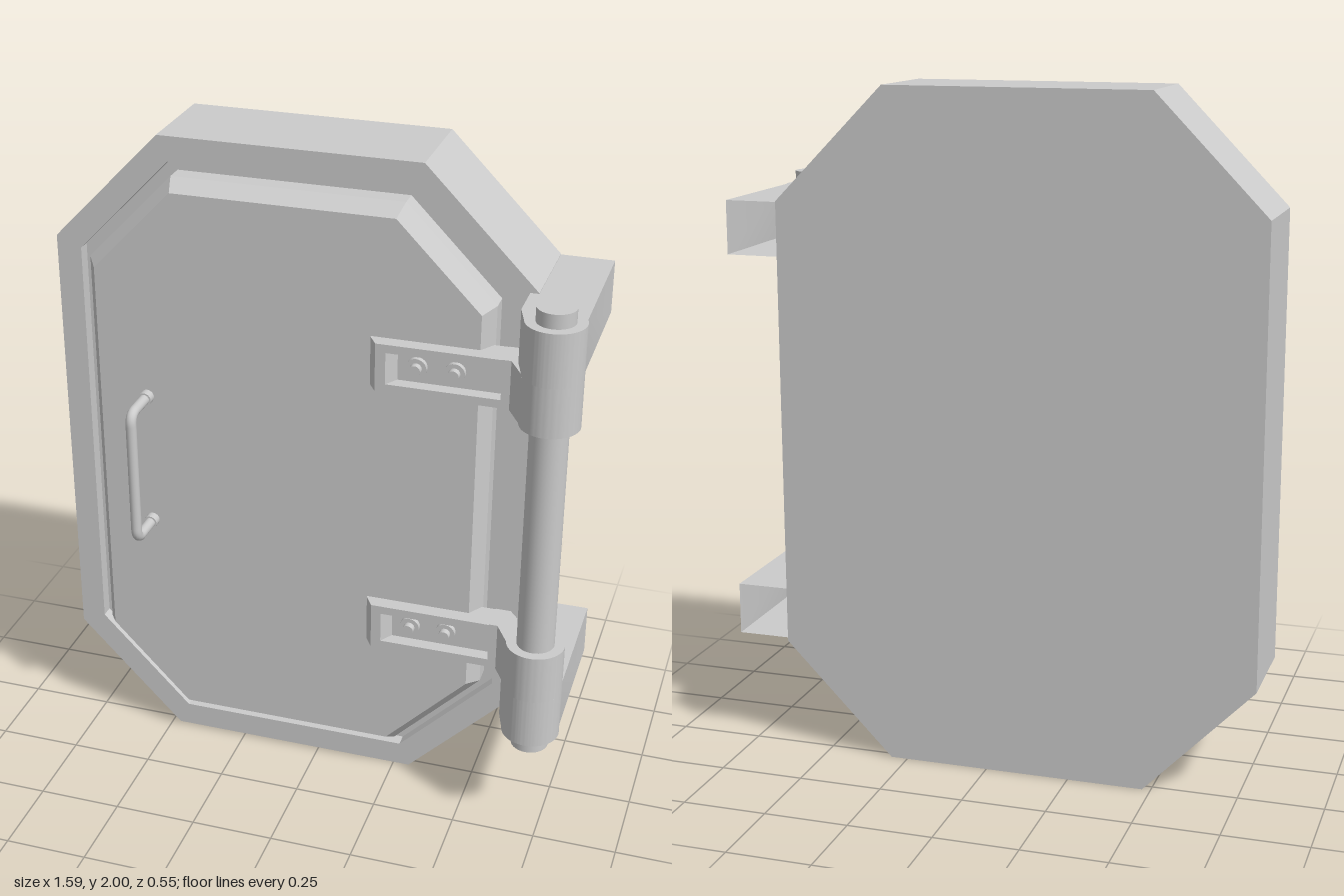
import * as THREE from 'three';
import { toCreasedNormals } from 'three/addons/utils/BufferGeometryUtils.js';

const grey = new THREE.MeshStandardMaterial({ color: 0xcccccc });
const greyDouble = new THREE.MeshStandardMaterial({ color: 0xcccccc, side: THREE.DoubleSide });

function add(parent, name, geometry, material = grey) {
  const mesh = new THREE.Mesh(geometry, material);
  mesh.name = name;
  parent.add(mesh);
  return mesh;
}

// Corners of the hatch octagon, shrunk evenly by an inset
function octagon(inset) {
  const s = inset * Math.tan(Math.PI / 8);
  const x0 = -0.8 + inset, x1 = 0.63 - inset, y0 = inset, y1 = 2 - inset;
  const cl = -0.475 + s, cr = 0.3 - s, cb = 0.335 + s, ct = 1.665 - s;
  return [[cl, y0], [cr, y0], [x1, cb], [x1, ct], [cr, y1], [cl, y1], [x0, ct], [x0, cb]];
}

// Skin through octagon rings [inset, z], closed with flat caps
function octagonLoft(rings) {
  const loops = rings.map(([inset, z]) => octagon(inset).map(([x, y]) => [x, y, z]));
  const pos = [];
  for (let r = 0; r < loops.length - 1; r++) {
    for (let i = 0; i < 8; i++) {
      const j = (i + 1) % 8, a = loops[r], b = loops[r + 1];
      pos.push(...a[i], ...a[j], ...b[j], ...a[i], ...b[j], ...b[i]);
    }
  }
  const back = loops[0], front = loops[loops.length - 1];
  for (let i = 1; i < 7; i++) {
    pos.push(...back[0], ...back[i + 1], ...back[i]);
    pos.push(...front[0], ...front[i], ...front[i + 1]);
  }
  const g = new THREE.BufferGeometry();
  g.setAttribute('position', new THREE.Float32BufferAttribute(pos, 3));
  g.computeVertexNormals();
  return g;
}

// Plan outline (x, z) ending in a rounded knuckle, raised from y0 to y1
function knuckleArm(points, endAngle, y0, y1) {
  const shape = new THREE.Shape();
  points.forEach(([x, z], i) => (i ? shape.lineTo(x, -z) : shape.moveTo(x, -z)));
  shape.absarc(0.71, -0.19, 0.085, Math.PI + 0.2, endAngle, false);
  shape.closePath();
  const g = new THREE.ExtrudeGeometry(shape, { depth: y1 - y0, bevelEnabled: false, curveSegments: 32 });
  g.rotateX(-Math.PI / 2).translate(0, y0, 0);
  return g;
}

// Removes the triangles whose three corners all pass the test
function dropFaces(g, test) {
  const src = g.index ? g.toNonIndexed() : g;
  const p = src.attributes.position, keep = [];
  for (let i = 0; i < p.count; i += 3) {
    const tri = [0, 1, 2].map(k => [p.getX(i + k), p.getY(i + k), p.getZ(i + k)]);
    if (!test(tri)) keep.push(...tri.flat());
  }
  const out = new THREE.BufferGeometry();
  out.setAttribute('position', new THREE.Float32BufferAttribute(keep, 3));
  return out;
}

function rectangle(x0, x1, y0, y1, Type = THREE.Shape) {
  return new Type([[x0, y0], [x1, y0], [x1, y1], [x0, y1]].map(c => new THREE.Vector2(...c)));
}

// Strap bolted to the door, with a pocket whose left wall slopes
function strap(parent, yc) {
  const h = 0.073;
  const base = new THREE.ExtrudeGeometry(rectangle(0.175, 0.56, yc - h, yc + h), { depth: 0.05, bevelEnabled: false });
  add(parent, 'strapBase', base.translate(0, 0, 0.045));

  const outline = rectangle(0.175, 0.585, yc - h, yc + h);
  outline.holes.push(rectangle(0.255, 0.56, yc - 0.048, yc + 0.048, THREE.Path));
  const rim = new THREE.ExtrudeGeometry(outline, { depth: 0.04, bevelEnabled: false });
  const p = rim.attributes.position;
  for (let i = 0; i < p.count; i++) {
    if (p.getZ(i) < 0.03) continue;
    if (p.getX(i) < 0.2) p.setX(i, 0.2);
    else if (p.getX(i) < 0.3) p.setX(i, 0.23);
  }
  rim.computeVertexNormals();
  add(parent, 'strapRim', rim.translate(0, 0, 0.095));

  for (const x of [0.312, 0.422]) {
    const washer = new THREE.CylinderGeometry(0.03, 0.03, 0.015, 24).rotateX(Math.PI / 2);
    add(parent, 'boltWasher', washer).position.set(x, yc, 0.1025);
    const head = new THREE.CylinderGeometry(0.017, 0.017, 0.02, 24).rotateX(Math.PI / 2);
    add(parent, 'boltHead', head).position.set(x, yc, 0.12);
  }
}

// One hinge: hollow arm on the frame plus solid arm and strap on the door
function hinge(name, frameY, doorY) {
  const g = new THREE.Group();
  g.name = name;

  const near = (v, t) => Math.abs(v - t) < 1e-4;
  const arm = dropFaces(
    knuckleArm([[0.785, -0.275], [0.63, -0.275], [0.63, 0.025], [0.605, 0.025], [0.605, 0.14]],
      2 * Math.PI + 0.4, ...frameY),
    t => t.every(v => near(v[2], -0.275)) || t.every(v => near(v[0], 0.63)));
  add(g, 'frameArm', toCreasedNormals(arm, 0.4), greyDouble);

  const doorArm = knuckleArm([[0.605, 0.045], [0.56, 0.045], [0.56, 0.135], [0.585, 0.135]],
    3 * Math.PI - 1, ...doorY);
  add(g, 'doorArm', toCreasedNormals(doorArm, 0.4));
  strap(g, (doorY[0] + doorY[1]) / 2);
  return g;
}

// Bent pull handle with a collar at each foot
function handle() {
  const g = new THREE.Group();
  g.name = 'handle';
  const x = -0.51, lo = 0.797, hi = 1.215, front = 0.22, r = 0.035;
  const v = (y, z) => new THREE.Vector3(x, y, z);
  const path = new THREE.CurvePath();
  path.add(new THREE.LineCurve3(v(lo, 0.085), v(lo, front - r)));
  path.add(new THREE.QuadraticBezierCurve3(v(lo, front - r), v(lo, front), v(lo + r, front)));
  path.add(new THREE.LineCurve3(v(lo + r, front), v(hi - r, front)));
  path.add(new THREE.QuadraticBezierCurve3(v(hi - r, front), v(hi, front), v(hi, front - r)));
  path.add(new THREE.LineCurve3(v(hi, front - r), v(hi, 0.085)));
  add(g, 'handleBar', new THREE.TubeGeometry(path, 100, 0.016, 16));
  for (const y of [lo, hi]) {
    const collar = new THREE.CylinderGeometry(0.021, 0.021, 0.027, 20).rotateX(Math.PI / 2);
    add(g, 'handleCollar', collar).position.set(x, y, 0.1025);
  }
  return g;
}

export function createModel() {
  const model = new THREE.Group();
  model.name = 'hatch';

  // Frame with a shallow recess, and the bevelled door sitting in it
  add(model, 'frame', octagonLoft([[0, -0.275], [0, 0.025], [0.075, 0.025], [0.075, -0.015]]));
  add(model, 'door', octagonLoft([[0.11, -0.02], [0.11, 0.04], [0.142, 0.09]]));

  model.add(handle());
  model.add(hinge('upperHinge', [1.505, 1.663], [1.357, 1.505]));
  model.add(hinge('lowerHinge', [0.345, 0.5], [0.5, 0.65]));

  // Pin running through both hinges
  add(model, 'hingePin', new THREE.CylinderGeometry(0.055, 0.055, 1.405, 32)).position.set(0.71, 1.0025, 0.19);
  return model;
}
